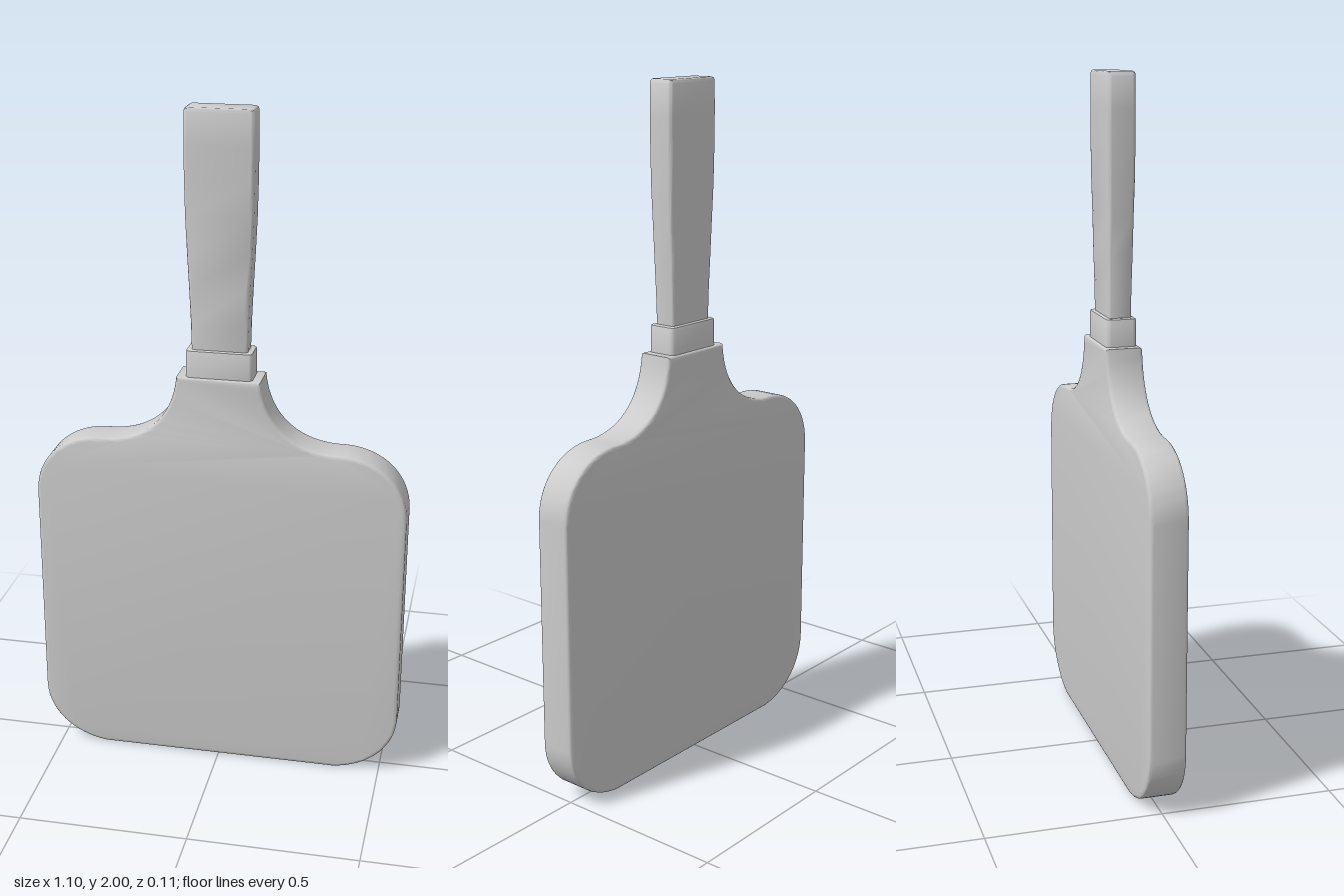
import * as THREE from 'three';
import { toCreasedNormals } from 'three/addons/utils/BufferGeometryUtils.js';

const material = new THREE.MeshStandardMaterial({ color: 0xcccccc, roughness: 0.7 });

function addPart(group, name, geometry) {
  const mesh = new THREE.Mesh(toCreasedNormals(geometry, 0.65), material);
  mesh.name = name;
  group.add(mesh);
}

// Rounded-rectangle ring in plan, running from +x towards +z
function ring(hx, hz, r, steps = 4) {
  const points = [];
  const corners = [[1, 1], [-1, 1], [-1, -1], [1, -1]];
  corners.forEach(([sx, sz], i) => {
    for (let k = 0; k <= steps; k++) {
      const a = (i + k / steps) * Math.PI / 2;
      points.push([sx * (hx - r) + r * Math.cos(a), sz * (hz - r) + r * Math.sin(a)]);
    }
  });
  return points;
}

// Capped loft through upright sections [y, half width, half depth, corner radius]
function loft(sections) {
  const positions = [], index = [];
  const rings = sections.map(([, hx, hz, r]) => ring(hx, hz, r));
  const n = rings[0].length;
  rings.forEach((pts, j) => pts.forEach(([x, z]) => positions.push(x, sections[j][0], z)));
  for (let j = 0; j < rings.length - 1; j++) {
    for (let i = 0; i < n; i++) {
      const a = j * n + i, b = j * n + (i + 1) % n;
      index.push(a, a + n, b, b, a + n, b + n);
    }
  }
  const top = (rings.length - 1) * n;
  for (let i = 1; i < n - 1; i++) {
    index.push(0, i, i + 1);
    index.push(top, top + i + 1, top + i);
  }
  const geometry = new THREE.BufferGeometry();
  geometry.setAttribute('position', new THREE.Float32BufferAttribute(positions, 3));
  geometry.setIndex(index);
  return geometry;
}

// Square paddle with rounded corners, sweeping up into a narrow neck
function boardGeometry() {
  const s = new THREE.Shape();
  s.moveTo(-0.36, 0);
  s.lineTo(0.36, 0);
  s.bezierCurveTo(0.47, 0.012, 0.55, 0.09, 0.55, 0.19);
  s.lineTo(0.55, 0.85);
  s.bezierCurveTo(0.55, 0.95, 0.475, 1.03, 0.36, 1.035);
  s.bezierCurveTo(0.23, 1.03, 0.135, 1.1, 0.122, 1.24);
  s.lineTo(-0.122, 1.24);
  s.bezierCurveTo(-0.135, 1.1, -0.23, 1.03, -0.36, 1.035);
  s.bezierCurveTo(-0.475, 1.03, -0.55, 0.95, -0.55, 0.85);
  s.lineTo(-0.55, 0.19);
  s.bezierCurveTo(-0.55, 0.09, -0.47, 0.012, -0.36, 0);
  const bevel = 0.01, halfDepth = 0.054;
  const geometry = new THREE.ExtrudeGeometry(s, {
    depth: 2 * (halfDepth - bevel), curveSegments: 16,
    bevelEnabled: true, bevelThickness: bevel, bevelSize: bevel, bevelOffset: -bevel, bevelSegments: 3,
  });
  return geometry.translate(0, 0, bevel - halfDepth);
}

export function createModel() {
  const group = new THREE.Group();
  group.name = 'paddle';

  addPart(group, 'board', boardGeometry());

  // Collar between the neck and the handle
  addPart(group, 'collar', loft([
    [1.235, 0.097, 0.045, 0.015],
    [1.312, 0.097, 0.045, 0.015],
    [1.318, 0.095, 0.043, 0.013],
    [1.32, 0.09, 0.038, 0.01],
  ]));

  // Grip flaring gently towards a softened top
  addPart(group, 'handle', loft([
    [1.315, 0.081, 0.033, 0.011],
    [1.4, 0.083, 0.034, 0.011],
    [1.5, 0.087, 0.036, 0.011],
    [1.6, 0.092, 0.037, 0.011],
    [1.7, 0.096, 0.039, 0.011],
    [1.8, 0.098, 0.04, 0.011],
    [1.9, 0.099, 0.04, 0.011],
    [1.99, 0.098, 0.04, 0.011],
    [1.997, 0.095, 0.038, 0.009],
    [2, 0.09, 0.034, 0.006],
  ]));

  return group;
}
